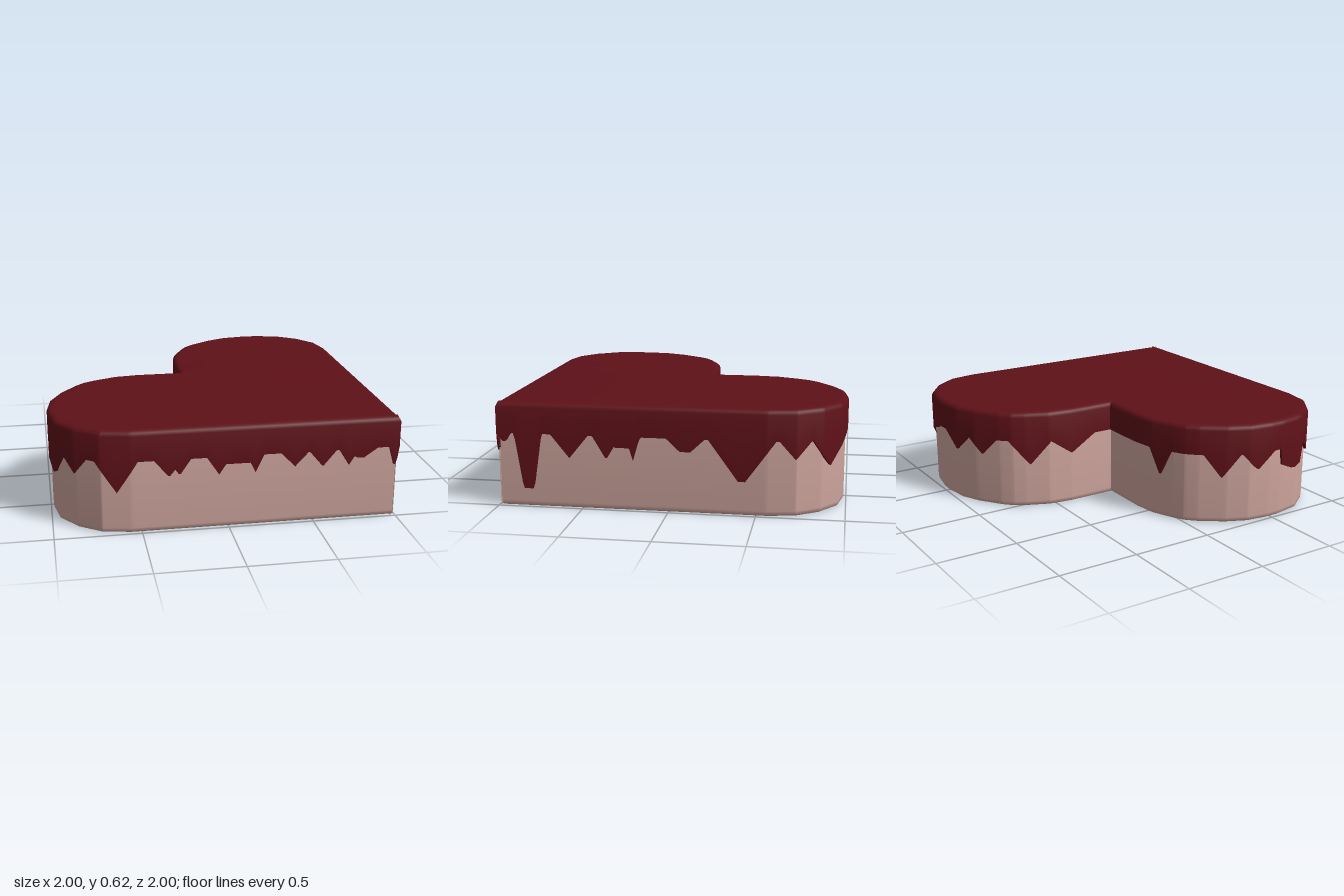
import * as THREE from 'three';
import { toCreasedNormals } from 'three/addons/utils/BufferGeometryUtils.js';

// One lobe of the heart as [x, z], from the straight side round to the notch; the other mirrors it.
const lobe = [[1, -0.56], [0.97, -0.73], [0.87, -0.87], [0.73, -0.97], [0.56, -1], [0.47, -1], [0.33, -0.98],
  [0.2, -0.92], [0.06, -0.82], [0, -0.76], [-0.04, -0.69], [-0.1, -0.55], [-0.12, -0.4], [-0.12, -0.12]];
const mirrored = lobe.map(([x, z]) => [z, x]).reverse();

// Drips as [centre, half width of the tip, width of each slope, tip height].
const frontDrips = [[-0.98, 0, 0.06, 0.28], [-0.87, 0, 0.065, 0.34], [-0.64, 0, 0.12, 0.25],
  [-0.345, 0.005, 0.08, 0.34], [-0.285, 0, 0.065, 0.34], [-0.06, 0, 0.07, 0.33], [0.05, 0.08, 0.05, 0.39],
  [0.15, 0, 0.05, 0.33], [0.38, 0, 0.08, 0.35], [0.545, 0, 0.08, 0.34], [0.7, 0, 0.06, 0.34],
  [0.77, 0.02, 0.08, 0.38], [0.975, 0, 0.035, 0.31]];
const rightDrips = [[-0.955, 0.01, 0.03, 0.385], [-0.815, 0.03, 0.05, 0.11], [-0.57, 0, 0.11, 0.3],
  [-0.355, 0, 0.08, 0.3], [-0.26, 0.04, 0.07, 0.37], [-0.2, 0, 0.04, 0.3], [0.1, 0.03, 0.08, 0.36],
  [0.42, 0.02, 0.17, 0.2], [0.72, 0, 0.09, 0.33], [0.91, 0, 0.1, 0.27]];
const backDrips = [[-0.93, 0, 0.1, 0.33], [-0.74, 0, 0.1, 0.33], [-0.43, 0, 0.13, 0.28], [-0.2, 0, 0.12, 0.33],
  [0.38, 0, 0.07, 0.27], [0.76, 0, 0.11, 0.29], [0.97, 0, 0.09, 0.33]];

// Stretches of the outline, each with a rising key along which its drips are placed.
const sections = [
  { path: [...mirrored.slice(9), [1, 1]], key: ([x]) => x, drips: frontDrips },
  { path: [[1, 1], ...lobe.slice(0, 5)], key: ([, z]) => -z, drips: rightDrips },
  { path: [...lobe.slice(4), ...mirrored.slice(1, 10)], key: ([x, z]) => (z - x) / Math.SQRT2, drips: backDrips },
];

// Lower edge of the icing: the lowest drip at this place.
function dripHeight(drips, k) {
  return Math.min(...drips.map(([centre, flat, slope, tip]) => {
    const t = THREE.MathUtils.clamp((Math.abs(k - centre) - flat) / slope, 0, 1);
    return THREE.MathUtils.lerp(tip, 0.435, t);
  }));
}

// Closed outline, finely divided between the corners of the heart.
function sampleOutline() {
  const points = [];
  for (const { path, key, drips } of sections) {
    for (let i = 0; i < path.length - 1; i++) {
      const [a, b] = [path[i], path[i + 1]];
      const steps = Math.ceil((key(b) - key(a)) / 0.01);
      for (let s = 0; s < steps; s++) {
        const x = THREE.MathUtils.lerp(a[0], b[0], s / steps);
        const z = THREE.MathUtils.lerp(a[1], b[1], s / steps);
        points.push({ x, z, drip: dripHeight(drips, key([x, z])) });
      }
    }
  }
  // Mitred outward direction at each point
  const n = points.length;
  points.forEach((p, i) => {
    const a = points[(i + n - 1) % n], b = points[(i + 1) % n];
    const n1 = new THREE.Vector2(a.z - p.z, p.x - a.x).normalize();
    const n2 = new THREE.Vector2(p.z - b.z, b.x - p.x).normalize();
    p.out = n1.clone().add(n2).divideScalar(1 + n1.dot(n2));
  });
  return points;
}

// Stacks rings of the outline, listed from bottom to top as [inset, height rule].
function loft(outline, levels, capBottom) {
  const rings = levels.map(([inset, height]) => outline.map((p) => new THREE.Vector3(
    p.x - p.out.x * inset, height(p), p.z - p.out.y * inset)));
  const position = [];
  const tri = (...vs) => vs.forEach((v) => position.push(v.x, v.y, v.z));
  const n = outline.length;
  for (let r = 0; r < rings.length - 1; r++) {
    for (let i = 0; i < n; i++) {
      const j = (i + 1) % n, lo = rings[r], hi = rings[r + 1];
      tri(lo[i], lo[j], hi[j]);
      tri(lo[i], hi[j], hi[i]);
    }
  }
  const cap = (ring, up) => {
    const flat = ring.map((v) => new THREE.Vector2(v.x, -v.z));
    for (const [a, b, c] of THREE.ShapeUtils.triangulateShape(flat, [])) {
      const ccw = THREE.ShapeUtils.area([flat[a], flat[b], flat[c]]) > 0;
      if (ccw === up) tri(ring[a], ring[b], ring[c]);
      else tri(ring[a], ring[c], ring[b]);
    }
  };
  cap(rings[rings.length - 1], true);
  if (capBottom) cap(rings[0], false);
  const geometry = new THREE.BufferGeometry();
  geometry.setAttribute('position', new THREE.Float32BufferAttribute(position, 3));
  return toCreasedNormals(geometry, 0.85);
}

export function createModel() {
  const group = new THREE.Group();
  group.name = 'heartCake';
  const outline = sampleOutline();
  const at = (y) => () => y;
  const add = (name, geometry, color) => {
    const mesh = new THREE.Mesh(geometry, new THREE.MeshStandardMaterial({ color }));
    mesh.name = name;
    group.add(mesh);
  };

  // Sponge with a softened bottom edge
  add('cakeBase', loft(outline, [[0.03, at(0)], [0.019, at(0.008)], [0.015, at(0.03)], [0.015, at(0.58)]], true), 0xd4aaa2);

  // Icing: lip under the drips, outer skin, rounded rim and flat top
  const drip = (p) => p.drip;
  add('icing', loft(outline, [[0.02, drip], [0, drip], [0, at(0.585)], [0.006, at(0.602)],
    [0.018, at(0.612)], [0.04, at(0.615)]], false), 0x5e1118);
  return group;
}
